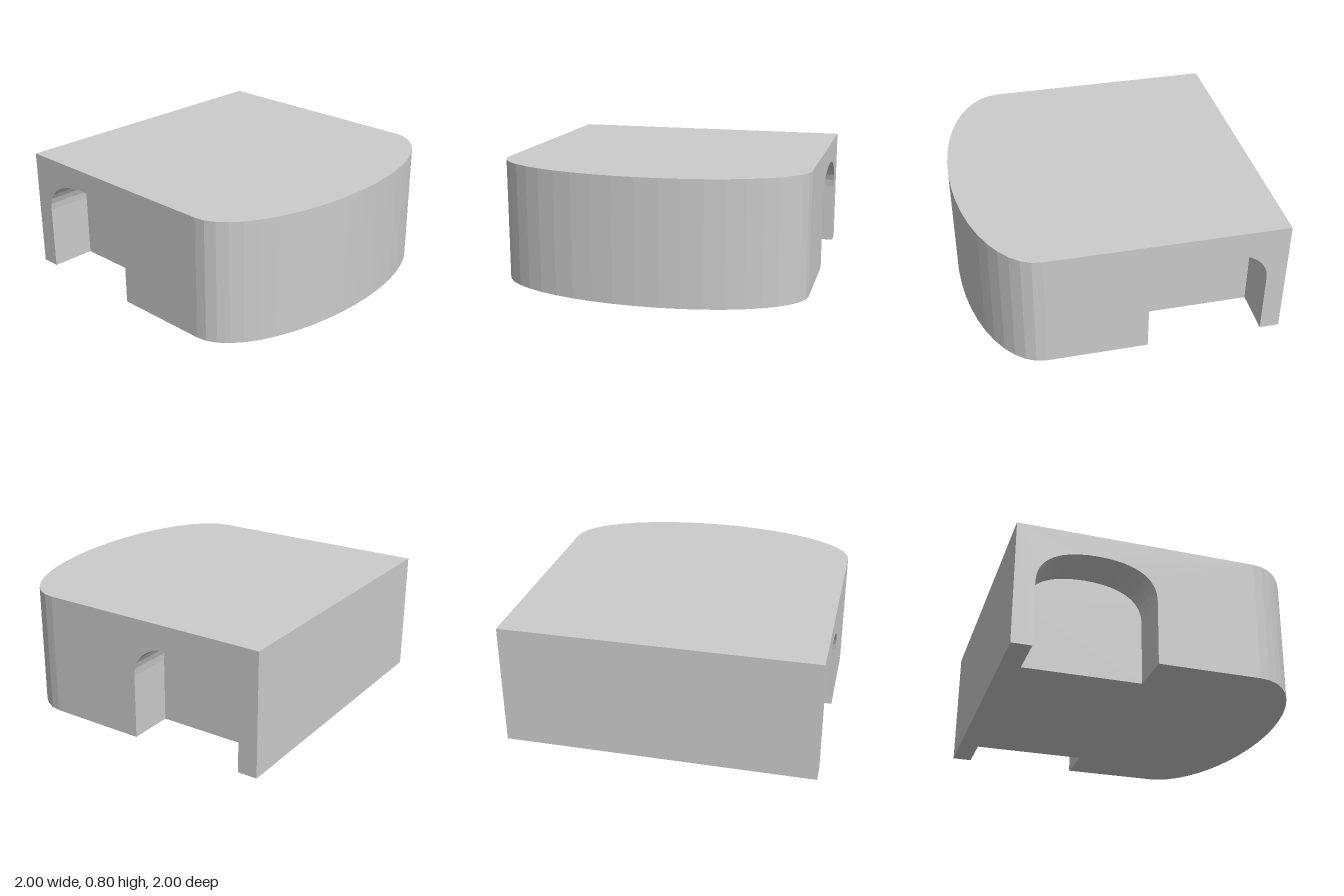
import * as THREE from 'three';

const H = 0.8, LEFT = -1, BEND = 0.54, BULGE = 0.455, DEPTH = 0.3;
const ARCH_L = -0.873, ARCH_R = -0.115, ARCH_MID = (ARCH_L + ARCH_R) / 2, SPRING = 0.42, CROWN = 0.66;

const material = new THREE.MeshStandardMaterial({ color: 0xcccccc, flatShading: true });

export function createModel() {
  const group = new THREE.Group();

  const add = (name, positions) => {
    const g = new THREE.BufferGeometry();
    g.setAttribute('position', new THREE.Float32BufferAttribute(positions, 3));
    g.computeVertexNormals();
    const mesh = new THREE.Mesh(g, material);
    mesh.name = name;
    group.add(mesh);
  };

  // Flat panel: triangulate a 2D outline and place it in space
  const panel = (name, outline, place, flip = false) => {
    const g = new THREE.ShapeGeometry(new THREE.Shape(outline)).toNonIndexed();
    const p = g.attributes.position, out = [];
    for (let i = 0; i < p.count; i += 3)
      for (const k of flip ? [0, 2, 1] : [0, 1, 2]) out.push(...place(p.getX(i + k), p.getY(i + k)));
    add(name, out);
  };

  // Wall: sweep a path of points along a straight vector
  const wall = (name, path, v) => {
    const out = [];
    for (let i = 0; i < path.length - 1; i++) {
      const a = path[i], b = path[i + 1];
      const c = b.map((n, k) => n + v[k]), d = a.map((n, k) => n + v[k]);
      out.push(...a, ...b, ...c, ...a, ...c, ...d);
    }
    add(name, out);
  };

  const V = (x, y) => new THREE.Vector2(x, y);

  // Arch outline, from left foot over the crown to right foot
  const half = new THREE.CubicBezierCurve(
    V(ARCH_L, SPRING), V(ARCH_L, 0.59), V(-0.71, CROWN), V(ARCH_MID, CROWN)).getPoints(10);
  const arch = [V(ARCH_L, 0), ...half,
    ...half.slice(0, -1).reverse().map(p => V(2 * ARCH_MID - p.x, p.y)), V(ARCH_R, 0)];

  // Bowed end in plan (x, z), from the front to the back
  const bow = [];
  for (let i = 0; i <= 22; i++) {
    const t = (i / 22) * Math.PI;
    bow.push(V(BEND + BULGE * Math.sin(t), Math.cos(t)));
  }

  // Roof and notched underside
  panel('roof', [V(LEFT, 1), ...bow, V(LEFT, -1)], (x, z) => [x, H, z], true);
  const notch = s => [V(ARCH_L, s), V(ARCH_L, s * (1 - DEPTH)), V(ARCH_R, s * (1 - DEPTH)), V(ARCH_R, s)];
  panel('underside', [V(LEFT, 1), ...notch(1), ...bow, ...notch(-1).reverse(), V(LEFT, -1)],
    (x, z) => [x, 0, z]);

  // Bowed wall and flat side wall
  wall('bowedWall', bow.map(p => [p.x, 0, p.y]), [0, H, 0]);
  wall('sideWall', [[LEFT, 0, -1], [LEFT, 0, 1]], [0, H, 0]);

  // Front and back walls, each with an arched recess
  const facade = [V(LEFT, 0), ...arch, V(BEND, 0), V(BEND, H), V(LEFT, H)];
  for (const [side, s] of [['front', 1], ['back', -1]]) {
    panel(side + 'Wall', facade, (x, y) => [x, y, s], s < 0);
    panel(side + 'RecessBack', arch, (x, y) => [x, y, s * (1 - DEPTH)], s < 0);
    wall(side + 'RecessLining', arch.map(p => [p.x, p.y, s > 0 ? 1 - DEPTH : -1]), [0, 0, DEPTH]);
  }
  return group;
}
